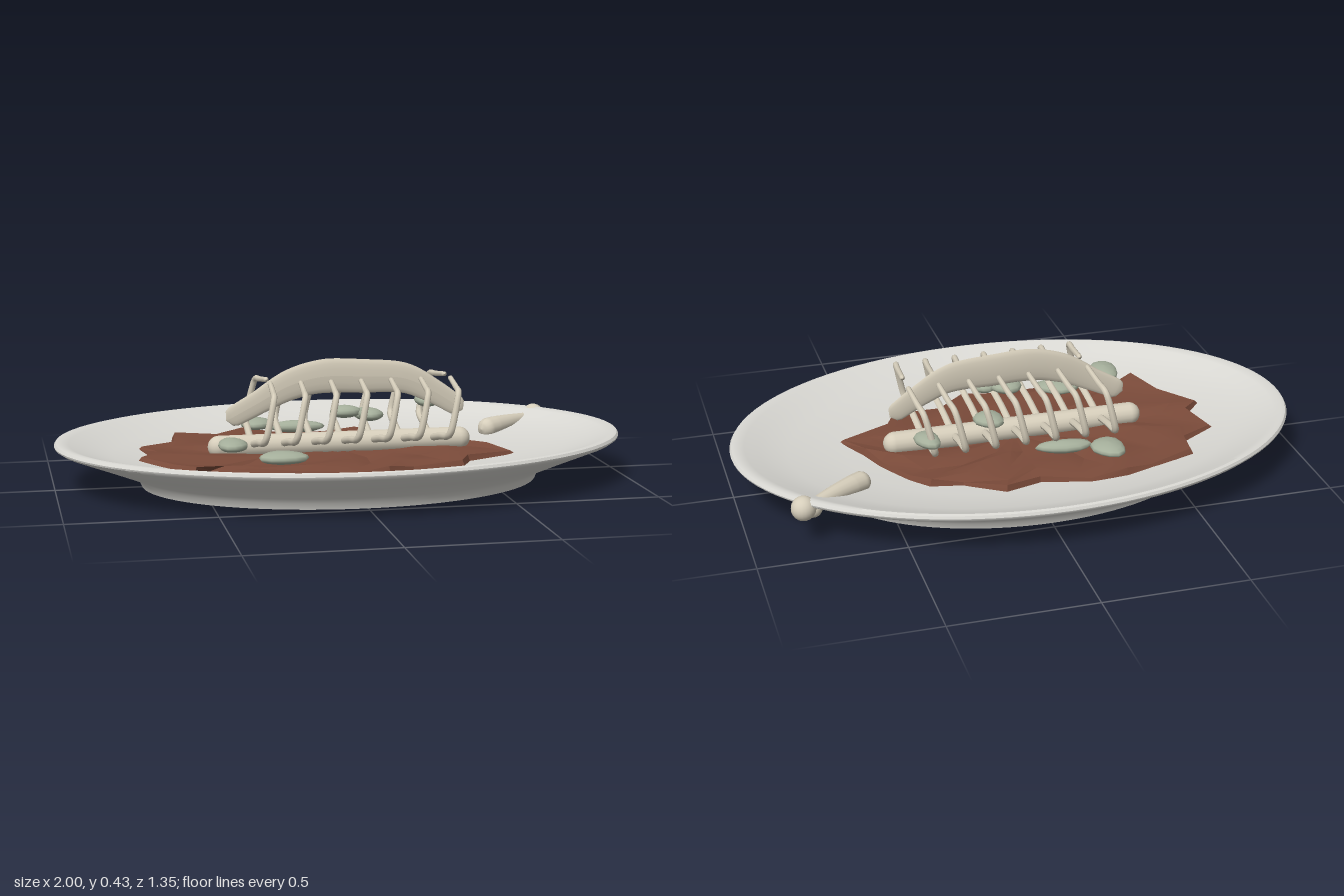
import * as THREE from 'three';
import { toCreasedNormals } from 'three/addons/utils/BufferGeometryUtils.js';

const V = (x, y, z) => new THREE.Vector3(x, y, z);
const material = (color, extra = {}) => new THREE.MeshStandardMaterial({ color, ...extra });
const DEPTH = 0.675; // oval ratio of the platter

// inner surface of the platter: radius, height
const bowl = [[0.98, 0.165], [0.95, 0.157], [0.9, 0.14], [0.8, 0.115], [0.6, 0.09], [0.3, 0.078], [0, 0.075]];

function bowlHeight(x, z) {
  const r = Math.min(0.979, Math.hypot(x, z / DEPTH));
  const i = bowl.findIndex((p) => p[0] <= r);
  const [a, b] = [bowl[i - 1], bowl[i]];
  return b[1] + ((a[1] - b[1]) * (r - b[0])) / (a[0] - b[0]);
}

// round-ended tube whose radius varies along the path; squash flattens it in z
function limb(points, radii, squash = 1, sides = 14) {
  const curve = new THREE.CatmullRomCurve3(points);
  const length = curve.getLength();
  const segments = 64;
  const geo = new THREE.TubeGeometry(curve, segments, 1, sides);
  const pos = geo.attributes.position;
  const v = V(0, 0, 0);
  for (let i = 0; i <= segments; i++) {
    const t = i / segments;
    const centre = curve.getPointAt(t);
    const k = t * (radii.length - 1);
    const j = Math.min(radii.length - 2, Math.floor(k));
    const radius = THREE.MathUtils.lerp(radii[j], radii[j + 1], k - j);
    const d = Math.min(1, (Math.min(t, 1 - t) * length) / radius);
    const r = radius * Math.sqrt(1 - (1 - d) ** 2);
    for (let s = 0; s <= sides; s++) {
      const n = i * (sides + 1) + s;
      v.fromBufferAttribute(pos, n).sub(centre).multiplyScalar(r);
      v.z *= squash;
      v.add(centre);
      pos.setXYZ(n, v.x, v.y, v.z);
    }
  }
  geo.computeVertexNormals();
  return geo;
}

export function createModel() {
  const model = new THREE.Group();
  const bone = material(0xd6cebb);
  const add = (name, geo, mat, parent = model) => {
    const mesh = new THREE.Mesh(geo, mat);
    mesh.name = name;
    parent.add(mesh);
    return mesh;
  };

  // oval platter: hollow underside, foot, flared wall, rim, bowl
  const profile = [
    [0, 0.055], [0.2, 0.054], [0.28, 0.046], [0.34, 0.03], [0.39, 0.018], [0.46, 0.012], [0.6, 0.01], [0.68, 0.008],
    [0.685, 0], [0.7, 0], [0.71, 0.022], [0.73, 0.04], [0.85, 0.087], [0.985, 0.138],
    [0.998, 0.147], [1, 0.153], [0.994, 0.162], ...bowl,
  ].map(([r, y]) => new THREE.Vector2(r, y));
  const dish = new THREE.LatheGeometry(profile, 96);
  dish.scale(1, 1, DEPTH);
  add('platter', toCreasedNormals(dish, 0.6), material(0xd9d8d3));

  // ragged sauce patch following the bowl
  const outline = [
    [-0.3, -0.39], [-0.17, -0.39], [0, -0.34], [0.13, -0.38], [0.26, -0.29], [0.37, -0.27], [0.43, -0.2],
    [0.5, -0.08], [0.54, 0.02], [0.6, 0.13], [0.42, 0.2], [0.38, 0.28], [0.2, 0.3], [0.1, 0.36], [0, 0.37],
    [-0.2, 0.35], [-0.36, 0.3], [-0.5, 0.25], [-0.56, 0.33], [-0.62, 0.2], [-0.72, 0.06], [-0.66, 0],
    [-0.7, -0.14], [-0.58, -0.2], [-0.56, -0.32], [-0.4, -0.36],
  ];
  const rings = [1, 0.98, 0.84, 0.62, 0.36, 0.02];
  const lift = [-0.004, 0.018, 0.024, 0.028, 0.026, 0.028];
  const verts = [];
  const faces = [];
  const n = outline.length;
  rings.forEach((s, i) => outline.forEach(([x, z], j) => {
    const bump = i > 0 && i < 5 ? 0.009 * Math.sin(j * 2.4 + i * 1.7) : 0;
    verts.push(x * s, bowlHeight(x * s, z * s) + lift[i] + bump, z * s);
    if (i === 0) return;
    const a = (i - 1) * n + j;
    const b = (i - 1) * n + ((j + 1) % n);
    faces.push(a, a + n, b, b, a + n, b + n);
  }));
  const sauce = new THREE.BufferGeometry();
  sauce.setAttribute('position', new THREE.Float32BufferAttribute(verts, 3));
  sauce.setIndex(faces);
  sauce.computeVertexNormals();
  add('sauce', toCreasedNormals(sauce, 0.4), material(0x7b4b3a, { side: THREE.DoubleSide }));

  // skeleton: spine, seven pairs of bent ribs, upper crest
  const skeleton = new THREE.Group();
  skeleton.name = 'skeleton';
  model.add(skeleton);
  const spine = new THREE.CapsuleGeometry(0.04, 0.86, 8, 16);
  spine.rotateZ(Math.PI / 2);
  add('spine', spine, bone, skeleton).position.y = 0.13;

  for (let i = 0; i < 7; i++) {
    const x = -0.315 + i * 0.107;
    for (const side of [1, -1]) {
      const p = [
        [0, 0.135, 0], [0.005, 0.165, 0.13], [0.01, 0.182, 0.215], [0.015, 0.2, 0.232], [0.04, 0.31, 0.222],
        [0.046, 0.332, 0.208], [0.052, 0.34, 0.15], [0.06, 0.356, 0.035],
      ].map(([dx, y, z]) => V(x + dx, y, z * side));
      add('rib', limb(p, [0.013, 0.012, 0.009], 1, 8), bone, skeleton);
    }
  }
  const crest = [[-0.405, 0.222], [-0.3, 0.277], [-0.18, 0.34], [-0.07, 0.367], [0.08, 0.364], [0.23, 0.352],
    [0.33, 0.305], [0.445, 0.232]].map(([x, y]) => V(x, y, 0));
  add('crest', limb(crest, [0.036, 0.042, 0.055, 0.061, 0.06, 0.055, 0.043, 0.034], 0.013, 16), bone, skeleton);
  // the squash above also flattens z to a sliver, so widen it to a thin blade
  skeleton.getObjectByName('crest').scale.z = 17;

  // loose bone resting on the rim
  const loose = new THREE.Group();
  loose.name = 'looseBone';
  model.add(loose);
  add('shaft', limb([V(0.57, 0.115, -0.205), V(0.69, 0.122, -0.285), V(0.82, 0.125, -0.375)],
    [0.037, 0.036, 0.03, 0.023, 0.02]), bone, loose);
  const knob = new THREE.SphereGeometry(1, 20, 14);
  for (const [x, y, z, r] of [[0.82, 0.13, -0.378, 0.042], [0.785, 0.112, -0.352, 0.032]]) {
    const lobe = add('knob', knob, bone, loose);
    lobe.position.set(x, y, z);
    lobe.scale.setScalar(r);
  }

  // flattened leaves: centre, half sizes in x and z, turn
  const leaf = new THREE.SphereGeometry(1, 12, 8);
  const lp = leaf.attributes.position;
  for (let i = 0; i < lp.count; i++) {
    const a = Math.atan2(lp.getZ(i), lp.getX(i));
    const k = 1 + 0.07 * Math.sin(3 * a + 0.6);
    lp.setXYZ(i, lp.getX(i) * k, lp.getY(i), lp.getZ(i) * k);
  }
  leaf.computeVertexNormals();
  const green = material(0xa5af9b);
  for (const [x, y, z, sx, sz, turn] of [
    [-0.26, 0.155, -0.28, 0.058, 0.07, 0.2], [-0.12, 0.15, -0.222, 0.1, 0.034, -0.1],
    [0.36, 0.232, -0.205, 0.042, 0.062, 0.2], [0.11, 0.215, -0.075, 0.052, 0.06, 0.3],
    [0, 0.255, 0.08, 0.055, 0.042, 0], [0.08, 0.25, 0.125, 0.042, 0.05, 0.3],
    [-0.42, 0.187, 0.255, 0.05, 0.076, 0], [-0.25, 0.14, 0.27, 0.085, 0.058, -0.1],
  ]) {
    const mesh = add('leaf', leaf, green);
    mesh.position.set(x, y, z);
    mesh.scale.set(sx, 0.022, sz);
    mesh.rotation.y = turn;
  }
  return model;
}
